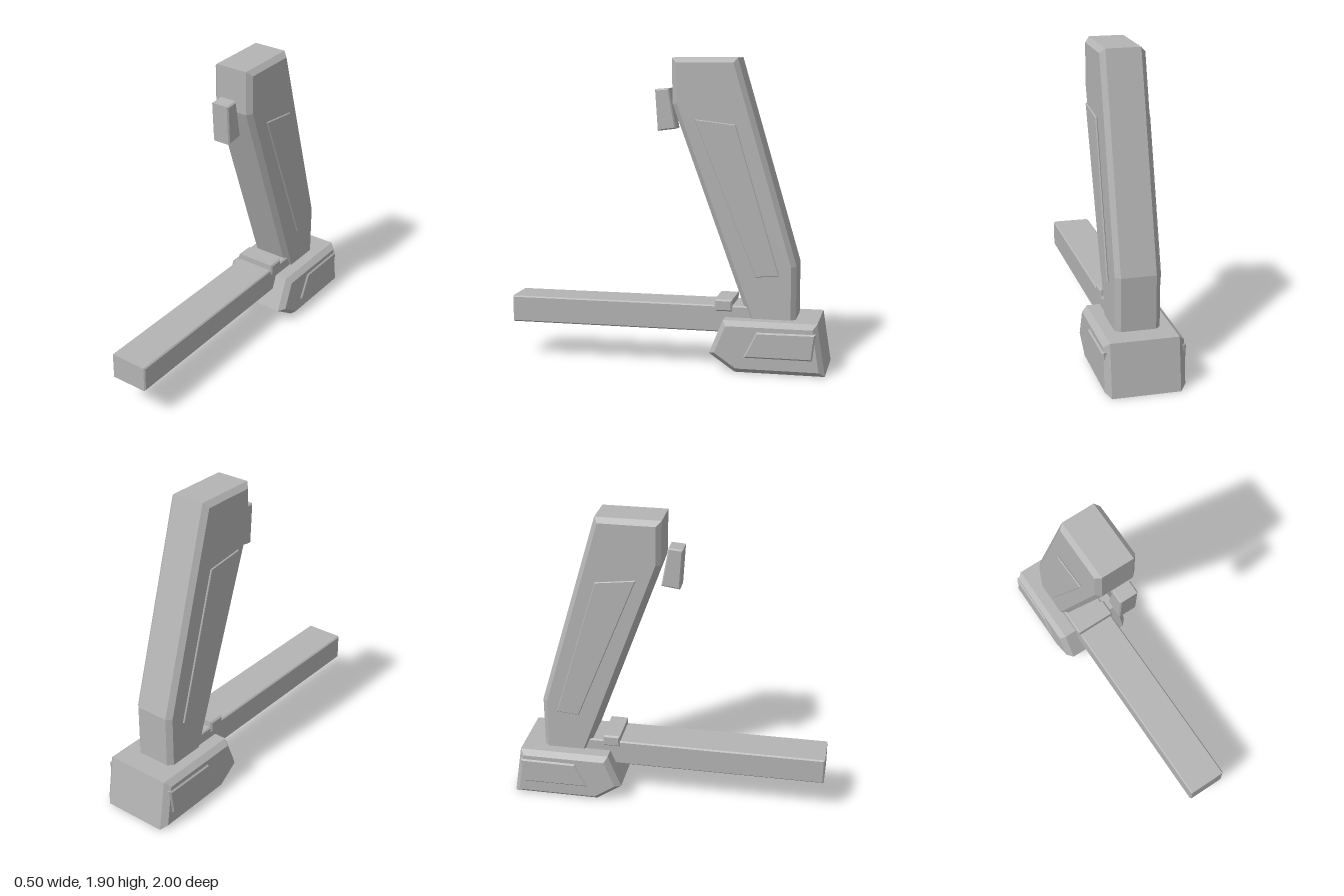
import * as THREE from 'three';

// Move each edge of a counter-clockwise convex outline inwards by d
function inset(points, d) {
  const n = points.length;
  const normal = (i) => {
    const a = points[i % n], b = points[(i + 1) % n];
    const e = b.clone().sub(a).normalize();
    return new THREE.Vector2(-e.y, e.x);
  };
  return points.map((p, i) => {
    const n1 = normal(i + n - 1), n2 = normal(i);
    return n1.clone().add(n2).multiplyScalar(d / (1 + n1.dot(n2))).add(p);
  });
}

// Convex side profile of [z, y] points, spanning x = +-half, with chamfered rims
function chamferedPrism(profile, half, rim, depth = rim) {
  const outer = profile.map(([z, y]) => new THREE.Vector2(y, z));
  if (THREE.ShapeUtils.area(outer) < 0) outer.reverse();
  const inner = inset(outer, rim);
  const ring = (pts, x) => pts.map((p) => [x, p.x, p.y]);
  const rings = [
    ring(inner, -half), ring(outer, depth - half),
    ring(outer, half - depth), ring(inner, half),
  ];
  const n = outer.length, pos = [];
  const tri = (a, b, c) => pos.push(...a, ...b, ...c);
  for (let k = 0; k < 3; k++) {
    for (let i = 0; i < n; i++) {
      const j = (i + 1) % n, lo = rings[k], hi = rings[k + 1];
      tri(lo[i], lo[j], hi[j]);
      tri(lo[i], hi[j], hi[i]);
    }
  }
  for (let i = 1; i < n - 1; i++) {
    tri(rings[3][0], rings[3][i], rings[3][i + 1]);
    tri(rings[0][0], rings[0][i + 1], rings[0][i]);
  }
  const g = new THREE.BufferGeometry();
  g.setAttribute('position', new THREE.Float32BufferAttribute(pos, 3));
  g.computeVertexNormals();
  return g;
}

export function createModel() {
  const model = new THREE.Group();
  const grey = new THREE.MeshStandardMaterial({ color: 0xb4b4b4 });
  grey.name = 'plain grey';

  const add = (name, geometry, x = 0) => {
    const mesh = new THREE.Mesh(geometry, grey);
    mesh.name = name;
    mesh.position.x = x;
    model.add(mesh);
  };

  // Heavy foot block with a sloped nose
  add('base', chamferedPrism(
    [[-0.375, 0.32], [-0.95, 0.32], [-1, 0], [-0.45, 0], [-0.29, 0.11]], 0.24, 0.03, 0.035));

  // Leaning upright
  add('upright', chamferedPrism(
    [[-0.035, 1.905], [-0.44, 1.905], [-0.81, 0.65], [-0.81, 0.2], [-0.56, 0.2], [-0.04, 1.625]],
    0.136, 0.03));

  // Long bar reaching forwards, with a raised band across it
  add('bar', chamferedPrism(
    [[1, 0.225], [1, 0.392], [-0.6, 0.392], [-0.6, 0.225]], 0.125, 0.008));
  add('barBand', chamferedPrism(
    [[-0.31, 0.355], [-0.31, 0.43], [-0.42, 0.43], [-0.42, 0.355]], 0.133, 0.01));

  // Small tilted block in front of the top
  add('frontTab', chamferedPrism(
    [[0.082, 1.71], [-0.005, 1.717], [-0.05, 1.47], [0.065, 1.455]], 0.06, 0.008));

  // Matching panels on both sides
  for (const [side, s] of [['left', 1], ['right', -1]]) {
    add(side + 'UprightPanel', chamferedPrism(
      [[-0.185, 1.537], [-0.437, 1.507], [-0.71, 0.595], [-0.567, 0.583]], 0.006, 0.004), s * 0.158);
    add(side + 'BasePanel', chamferedPrism(
      [[-0.585, 0.262], [-0.945, 0.265], [-0.925, 0.1], [-0.505, 0.1]], 0.02, 0.01), s * 0.229);
  }
  return model;
}
